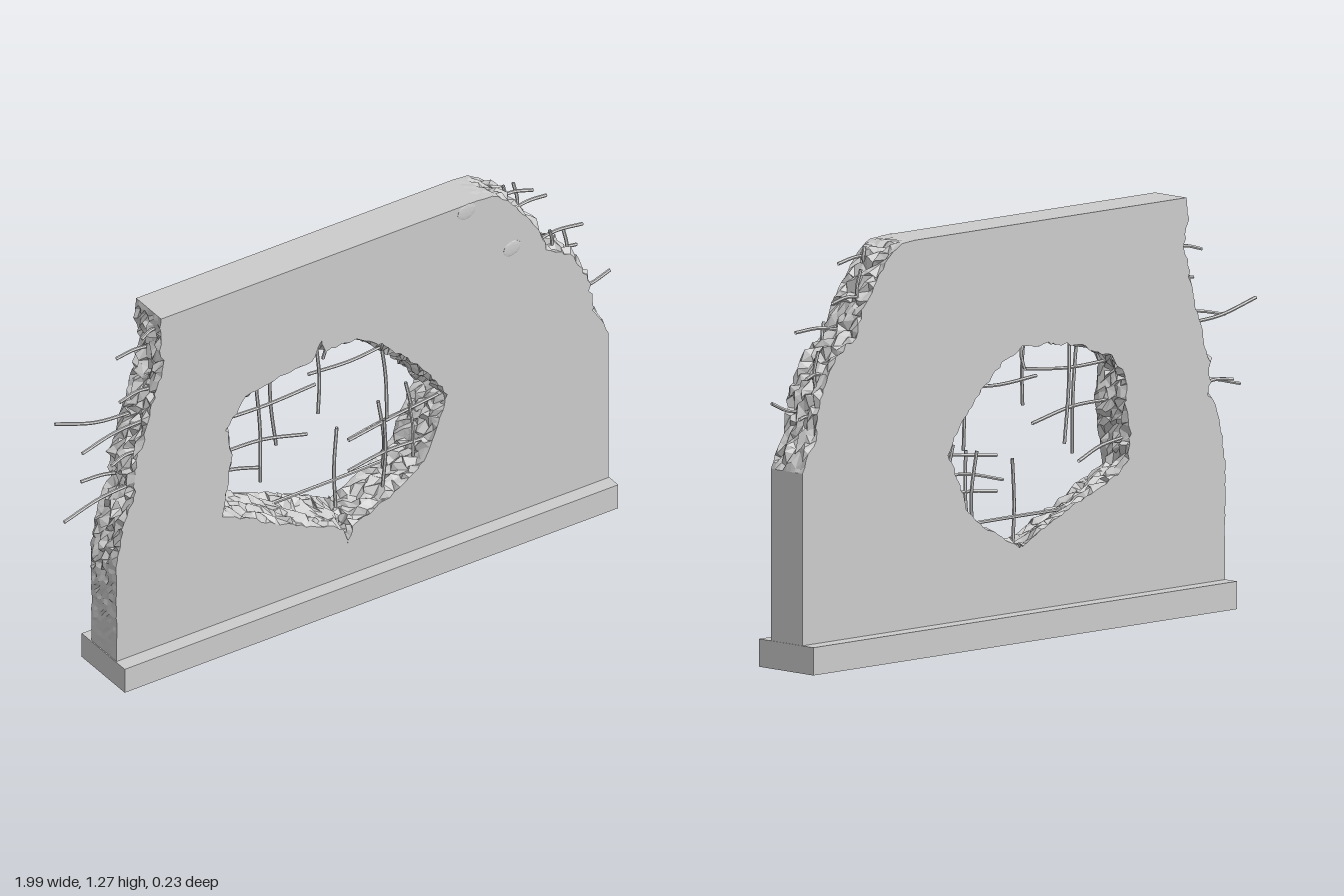
import * as THREE from 'three';

const T = 0.068; // half thickness of the wall
let seed = 7;
const rnd = () => {
  seed = (seed * 16807) % 2147483647;
  return (seed / 2147483647) * 2 - 1;
};

// Outer edge, counter-clockwise: x, y, roughness of the break
const OUTER = [
  [-0.81, 0.05, 0], [0.975, 0.05, 0], [0.975, 0.61, 0], [0.955, 0.65, 1], [0.92, 0.71, 1],
  [0.905, 0.81, 1], [0.87, 0.9, 1], [0.82, 0.96, 1], [0.75, 1.0, 1], [0.725, 1.08, 1],
  [0.66, 1.16, 1], [0.61, 1.23, 1], [0.555, 1.265, 0.3], [0.5, 1.27, 0], [-0.648, 1.27, 0],
  [-0.655, 1.2, 1], [-0.64, 1.12, 1], [-0.66, 1.02, 1], [-0.69, 0.93, 1], [-0.71, 0.85, 1],
  [-0.75, 0.75, 1], [-0.745, 0.66, 1], [-0.785, 0.58, 0.9], [-0.8, 0.5, 0.7],
  [-0.812, 0.43, 0.5], [-0.81, 0.28, 0.3],
];

// Hole, clockwise: front x, y, then back x, y
const HOLE = [
  [-0.41, 0.78, -0.395, 0.75], [-0.34, 0.87, -0.33, 0.82], [-0.2, 0.9, -0.2, 0.87],
  [-0.1, 0.91, -0.1, 0.885], [-0.07, 0.975, -0.07, 0.89], [-0.05, 0.93, -0.03, 0.89],
  [0.06, 0.93, 0.05, 0.89], [0.15, 0.88, 0.13, 0.85], [0.25, 0.79, 0.23, 0.77],
  [0.35, 0.67, 0.33, 0.65], [0.39, 0.61, 0.36, 0.6], [0.35, 0.5, 0.31, 0.5],
  [0.31, 0.4, 0.28, 0.42], [0.22, 0.33, 0.21, 0.36], [0.13, 0.29, 0.13, 0.32],
  [0.05, 0.26, 0.06, 0.285], [0.03, 0.19, 0.03, 0.29], [0.01, 0.26, 0.0, 0.31],
  [-0.1, 0.31, -0.1, 0.355], [-0.25, 0.38, -0.24, 0.41], [-0.38, 0.45, -0.36, 0.46],
  [-0.42, 0.47, -0.4, 0.5], [-0.41, 0.56, -0.41, 0.58], [-0.39, 0.66, -0.39, 0.67],
];

// Cross-section loops from front to back, with broken edges jittered
function makeLayers(rows, layers, step) {
  const pts = [];
  rows.forEach((a, i) => {
    const b = rows[(i + 1) % rows.length];
    const n = a[4] + b[4] === 0 ? 1 : Math.max(1, Math.round(Math.hypot(b[0] - a[0], b[1] - a[1]) / step));
    for (let k = 0; k < n; k++) pts.push(a.map((v, j) => v + (b[j] - v) * (k / n)));
  });
  return Array.from({ length: layers + 1 }, (_, k) => {
    const t = k / layers;
    const end = k === 0 || k === layers;
    return pts.map(([fx, fy, bx, by, amp]) => {
      const s = amp * (end ? 0.007 : 0.019);
      return new THREE.Vector3(
        fx + (bx - fx) * t + rnd() * s,
        Math.min(1.27, fy + (by - fy) * t + rnd() * s),
        T * (1 - 2 * t) + (end ? 0 : rnd() * amp * 0.006));
    });
  });
}

// Skin that joins the layers through the wall's thickness
function skin(layers) {
  const pos = [];
  for (let k = 0; k < layers.length - 1; k++) {
    const f = layers[k], r = layers[k + 1];
    f.forEach((a, i) => {
      const j = (i + 1) % f.length;
      for (const p of [a, r[i], r[j], a, r[j], f[j]]) pos.push(p.x, p.y, p.z);
    });
  }
  const g = new THREE.BufferGeometry();
  g.setAttribute('position', new THREE.Float32BufferAttribute(pos, 3));
  g.computeVertexNormals();
  return g;
}

// Flat face with the hole cut out
function face(outer, hole, z, back) {
  const flat = (loop) => loop.map((p) => new THREE.Vector2(p.x, p.y));
  const shape = new THREE.Shape(flat(outer));
  shape.holes.push(new THREE.Path(flat(hole)));
  const g = new THREE.ShapeGeometry(shape);
  if (back) g.index.array.reverse();
  g.computeVertexNormals();
  return g.translate(0, 0, z);
}

export function createModel() {
  seed = 7;
  const model = new THREE.Group();
  const mat = new THREE.MeshStandardMaterial({ color: 0xcccccc });
  const rough = new THREE.MeshStandardMaterial({ color: 0xcccccc, flatShading: true, side: THREE.DoubleSide });
  const add = (name, geo, m = mat, parent = model) => {
    const mesh = new THREE.Mesh(geo, m);
    mesh.name = name;
    parent.add(mesh);
    return mesh;
  };

  // Footing
  add('footing', new THREE.BoxGeometry(1.79, 0.085, 0.234)).position.set(0.082, 0.0425, 0);

  // Wall slab
  const outer = makeLayers(OUTER.map(([x, y, r]) => [x, y, x, y, r]), 8, 0.02);
  const hole = makeLayers(HOLE.map((p) => [...p, 0.8]), 8, 0.02);
  const last = outer.length - 1;
  add('wallFront', face(outer[0], hole[0], T, false));
  add('wallBack', face(outer[last], hole[last], -T, true));
  add('brokenOuterEdge', skin(outer), rough);
  add('brokenHoleEdge', skin(hole), rough);

  // Chipped spots on the front
  for (const [x, y, r] of [[0.46, 1.245, 0.035], [0.625, 1.05, 0.034]]) {
    const chip = add('chip', new THREE.IcosahedronGeometry(r, 1), rough);
    chip.scale.set(1, 0.75, 0.1);
    chip.rotation.z = 0.3;
    chip.position.set(x, y, T);
  }

  // Bent reinforcing bars: start x, y, end x, y, z, sag
  const bars = new THREE.Group();
  bars.name = 'reinforcingBars';
  model.add(bars);
  const bar = ([x0, y0, x1, y1, z, sag = 0.01]) => {
    const along = Math.abs(x1 - x0) > Math.abs(y1 - y0);
    const mx = (x0 + x1) / 2 + (along ? 0 : sag), my = (y0 + y1) / 2 + (along ? sag : 0);
    const curve = new THREE.CatmullRomCurve3([
      new THREE.Vector3(x0, y0, z),
      new THREE.Vector3(mx, my, z * 1.05),
      new THREE.Vector3(x1, y1, z * 1.3),
    ]);
    add('bar', new THREE.TubeGeometry(curve, 10, 0.0055, 6), rough, bars);
  };
  // Inside the hole, hanging and standing
  [
    [-0.28, 0.88, -0.27, 0.52, 0.03], [-0.19, 0.9, -0.16, 0.57, -0.03, -0.01],
    [-0.06, 0.93, -0.06, 0.69, 0.03], [0.0, 0.91, 0.01, 0.82, -0.03],
    [0.17, 0.88, 0.19, 0.58, 0.03], [0.05, 0.27, 0.06, 0.55, -0.03, -0.01],
    [0.18, 0.33, 0.18, 0.58, 0.03], [0.22, 0.34, 0.21, 0.59, -0.03],
    [0.29, 0.4, 0.27, 0.6, 0.03], [0.32, 0.44, 0.31, 0.62, -0.03],
  ].forEach(bar);
  // Inside the hole, lying
  [
    [-0.42, 0.79, -0.07, 0.8, 0.03, -0.01], [-0.05, 0.79, 0.26, 0.79, -0.03, -0.01],
    [-0.42, 0.67, -0.1, 0.63, 0.03, 0.015], [-0.42, 0.56, -0.22, 0.51, -0.03],
    [0.38, 0.59, 0.05, 0.55, 0.03, 0], [0.36, 0.53, 0.1, 0.49, -0.03],
    [0.33, 0.45, 0.05, 0.44, 0.03], [-0.22, 0.37, 0.3, 0.37, -0.03, 0],
  ].forEach(bar);
  // Along the left break
  [
    [-0.62, 1.21, -0.7, 1.2, 0.03], [-0.62, 1.11, -0.74, 1.1, -0.03],
    [-0.64, 1.0, -0.78, 1.0, 0.03], [-0.67, 0.88, -0.95, 0.93, -0.045, -0.015],
    [-0.67, 0.9, -0.92, 0.87, 0.035], [-0.7, 0.79, -0.81, 0.78, 0.03],
    [-0.72, 0.69, -0.99, 0.65, 0.04], [-0.72, 0.68, -0.86, 0.69, -0.04],
  ].forEach(bar);
  // Along the right break
  [
    [0.58, 1.22, 0.72, 1.21, 0.03], [0.68, 1.11, 0.82, 1.11, -0.03],
    [0.72, 1.01, 0.9, 1.02, 0.03], [0.84, 0.89, 0.93, 0.89, -0.03],
    [0.87, 0.78, 1.0, 0.815, 0.03, -0.012], [0.88, 0.76, 0.96, 0.77, -0.03],
    [0.62, 1.18, 0.62, 1.255, 0.02], [0.7, 1.08, 0.7, 1.2, -0.03],
    [0.79, 0.95, 0.78, 1.04, 0.03], [0.88, 0.84, 0.88, 0.97, -0.03],
  ].forEach(bar);

  return model;
}
